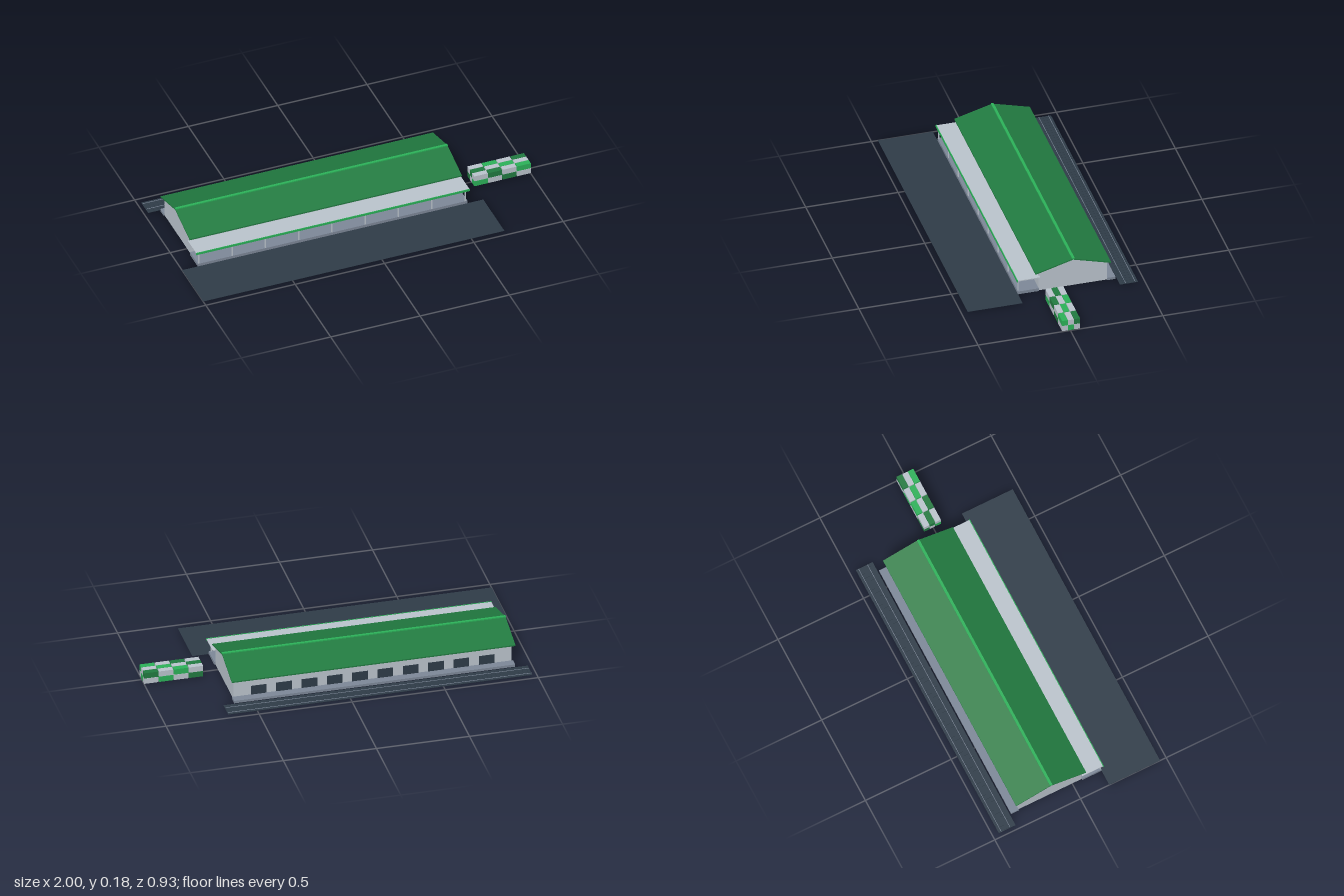
import * as THREE from 'three';

const mat = (name, color) => {
  const m = new THREE.MeshStandardMaterial({ color });
  m.name = name;
  return m;
};

export function createModel() {
  const wall = mat('pale grey', 0xb9c2cb);
  const concrete = mat('concrete grey', 0x7c8797);
  const dark = mat('dark slate', 0x2e3b47);
  const green = mat('roof green', 0x217a40);
  const bright = mat('bright green', 0x2bb058);

  const root = new THREE.Group();
  root.name = 'freightDepot';

  // Box given by its min and max on every axis
  const box = (name, m, [x0, x1], [y0, y1], [z0, z1], parent = root) => {
    const mesh = new THREE.Mesh(new THREE.BoxGeometry(x1 - x0, y1 - y0, z1 - z0), m);
    mesh.position.set((x0 + x1) / 2, (y0 + y1) / 2, (z0 + z1) / 2);
    mesh.name = name;
    parent.add(mesh);
    return mesh;
  };

  // Cross-section around the ridge line, extruded along x
  const ridgeZ = -0.13;
  const alongX = (name, m, points, [x0, x1]) => {
    const shape = new THREE.Shape(points.map(p => new THREE.Vector2(...p)));
    const g = new THREE.ExtrudeGeometry(shape, { depth: x1 - x0, bevelEnabled: false });
    g.rotateY(Math.PI / 2);
    const mesh = new THREE.Mesh(g, m);
    mesh.position.set(x0, 0, ridgeZ);
    mesh.name = name;
    root.add(mesh);
  };

  // Gabled hall and its pitched roof
  alongX('hallWalls', wall,
    [[-0.185, 0], [0.185, 0], [0.185, 0.112], [0, 0.164], [-0.185, 0.112]], [-0.905, 0.59]);
  alongX('roof', green,
    [[-0.204, 0.108], [0, 0.165], [0.204, 0.108], [0.204, 0.115], [0, 0.172], [-0.204, 0.115]],
    [-0.92, 0.603]);
  box('ridgeCap', bright, [-0.92, 0.603], [0.166, 0.176], [ridgeZ - 0.007, ridgeZ + 0.007]);

  // Loading docks on both long sides
  box('frontDock', concrete, [-0.912, 0.597], [0, 0.017], [0.055, 0.168]);
  box('backDock', concrete, [-0.912, 0.597], [0, 0.014], [-0.36, -0.315]);

  // Doors of both long sides
  for (let i = 0; i < 10; i++) {
    const x = -0.77 + i * 0.136;
    box('frontDoor', dark, [x - 0.042, x + 0.042], [0.017, 0.076], [0.054, 0.0575]);
    box('backDoor', dark, [x - 0.042, x + 0.042], [0.014, 0.065], [-0.3175, -0.314]);
  }

  // Canopy with fascia and posts
  box('canopy', wall, [-0.922, 0.607], [0.086, 0.091], [0.05, 0.171]);
  box('canopyFascia', bright, [-0.924, 0.609], [0.081, 0.093], [0.171, 0.175]);
  for (let i = 0; i < 9; i++) {
    const x = -0.905 + i * 0.1862;
    box('canopyPost', wall, [x - 0.003, x + 0.003], [0.017, 0.086], [0.161, 0.167]);
  }

  // Yard in front
  box('yard', dark, [-1, 0.685], [0, 0.0015], [0.168, 0.465]);

  // Railway siding behind
  const siding = new THREE.Group();
  siding.name = 'railSiding';
  root.add(siding);
  box('trackBed', dark, [-0.977, 0.657], [0, 0.0015], [-0.465, -0.367], siding);
  for (let i = 0; i < 68; i++) {
    const x = -0.967 + i * 0.0241;
    box('sleeper', dark, [x - 0.006, x + 0.006], [0.001, 0.003], [-0.463, -0.385], siding);
  }
  for (const z of [-0.45, -0.428 + 0.03]) {
    box('rail', concrete, [-0.975, 0.655], [0.0025, 0.0045], [z - 0.0012, z + 0.0012], siding);
  }

  // Stacked containers: four long, three deep, two high
  const stack = new THREE.Group();
  stack.name = 'containerStack';
  root.add(stack);
  const paint = [bright, wall, green, wall];
  for (let i = 0; i < 4; i++) {
    for (let row = 0; row < 3; row++) {
      for (let layer = 0; layer < 2; layer++) {
        const x = 0.684 + i * 0.08, y = 0.003 + layer * 0.032, z = 0.045 - row * 0.033;
        box('container', paint[(i + row + layer) % 4],
          [x, x + 0.076], [y, y + 0.031], [z - 0.031, z], stack);
      }
    }
  }

  return root;
}
